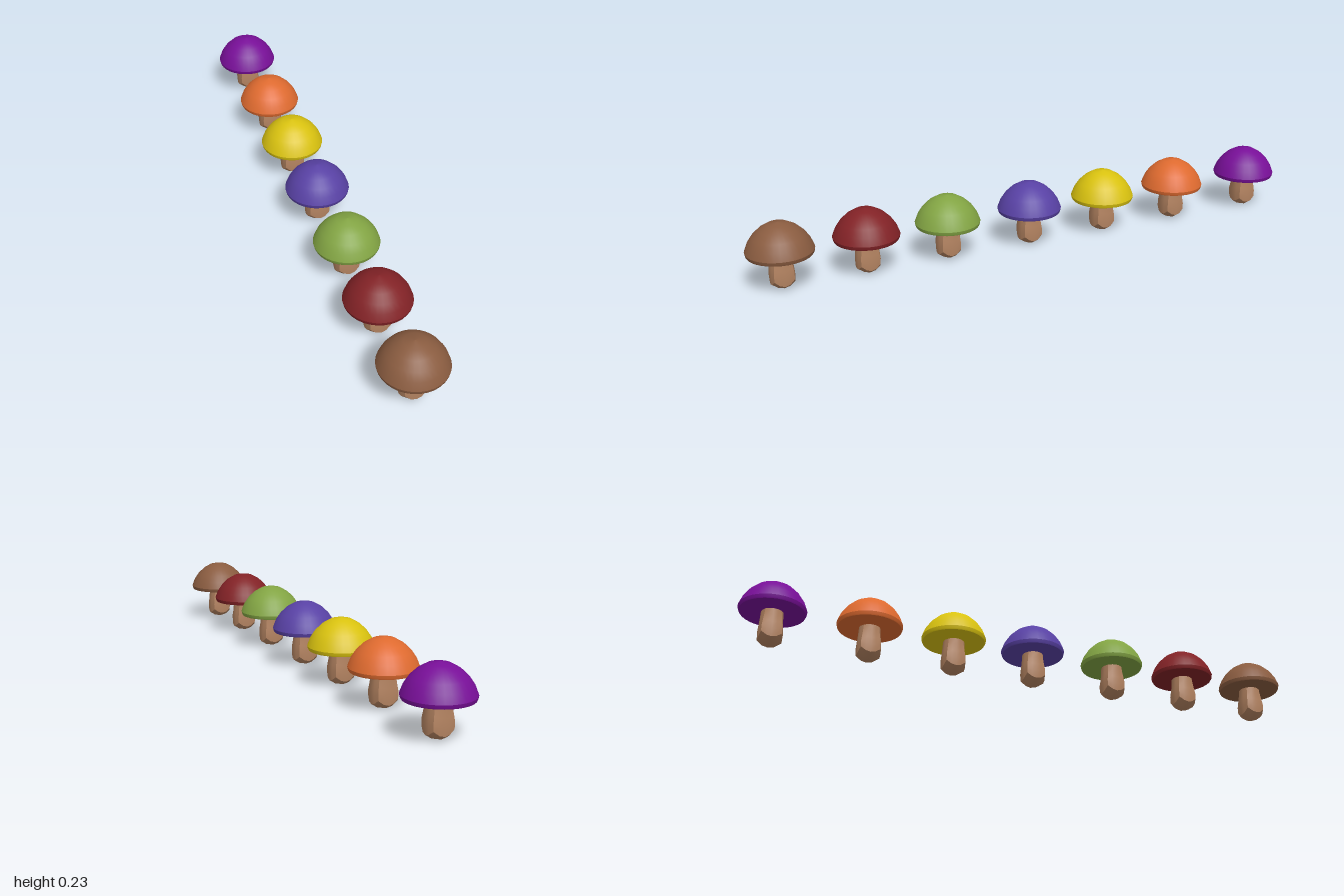
import * as THREE from 'three';
import { mergeGeometries } from 'three/addons/utils/BufferGeometryUtils.js';

const material = (name, color) => {
  const m = new THREE.MeshStandardMaterial({ color });
  m.name = name;
  return m;
};

// Cap: dome, rim and underside are separate lathes so the edges between them stay sharp
function capGeometry() {
  const profiles = [
    [[0, 0.121], [0.107, 0.121]],
    [[0.107, 0.121], [0.109, 0.125], [0.111, 0.134]],
    [[0.111, 0.134], [0.101, 0.16], [0.085, 0.184], [0.062, 0.206], [0.034, 0.222], [0, 0.228]],
  ];
  return mergeGeometries(profiles.map((p) =>
    new THREE.LatheGeometry(p.map(([r, y]) => new THREE.Vector2(r, y)), 32)));
}

// Stem: a box bulged into a rounded square column with a domed foot;
// its panels keep their own normals, so the corner creases show
function stemGeometry() {
  const geo = new THREE.BoxGeometry(2, 2, 2, 4, 4, 4);
  const pos = geo.attributes.position;
  const widths = [0.041, 0.043, 0.041, 0.039, 0.038];
  for (let i = 0; i < pos.count; i++) {
    const u = pos.getX(i), w = pos.getZ(i), t = (pos.getY(i) + 1) / 2;
    const s = widths[Math.round(t * 4)];
    const k = 0.3 + 0.2 * t; // rounder toward the top
    const foot = 0.002 + 0.0175 * (u * u + w * w);
    pos.setXYZ(i,
      s * u * Math.sqrt(1 - k * w * w),
      foot + (0.125 - foot) * t,
      0.95 * s * w * Math.sqrt(1 - k * u * u));
  }
  geo.computeVertexNormals();
  return geo;
}

export function createModel() {
  const model = new THREE.Group();
  model.name = 'mushroomRow';
  const cap = capGeometry();
  const stem = stemGeometry();
  const stemMaterial = material('stemTan', 0xb28260);

  // Row of mushrooms: colour name, cap colour, z position
  const row = [
    ['brown', 0x8a5c40, 0.89],
    ['red', 0x822226, 0.605],
    ['green', 0x82a443, 0.32],
    ['blue', 0x5841a4, 0.015],
    ['yellow', 0xd9c20f, -0.275],
    ['orange', 0xde6a2f, -0.568],
    ['purple', 0x780f98, -0.89],
  ];
  for (const [name, color, z] of row) {
    const mushroom = new THREE.Group();
    mushroom.name = name + 'Mushroom';
    const capMesh = new THREE.Mesh(cap, material(name + 'Cap', color));
    capMesh.name = 'cap';
    const stemMesh = new THREE.Mesh(stem, stemMaterial);
    stemMesh.name = 'stem';
    mushroom.add(capMesh, stemMesh);
    mushroom.position.z = z;
    model.add(mushroom);
  }
  return model;
}
